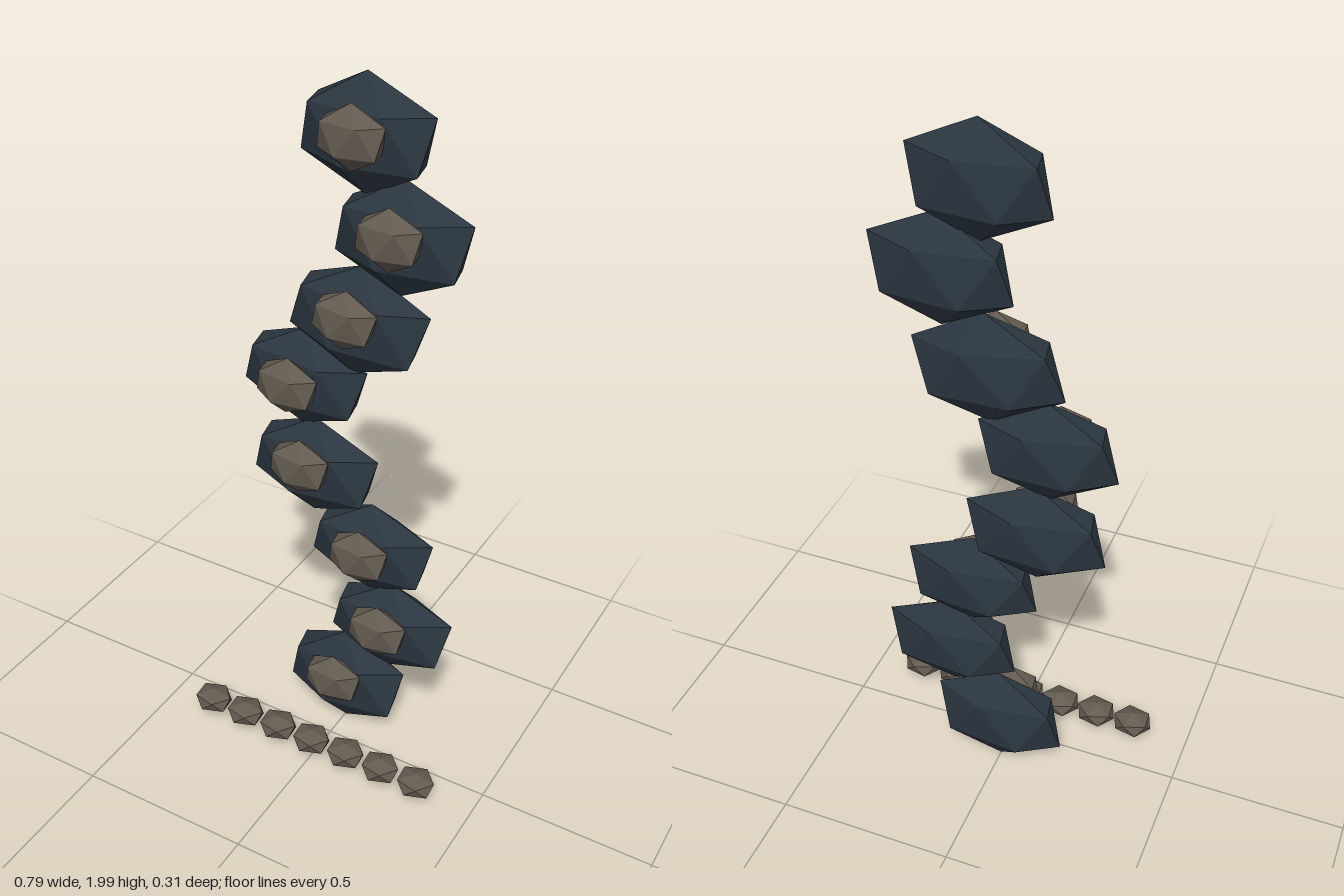
import * as THREE from 'three';

export function createModel() {
  const model = new THREE.Group();
  const slate = new THREE.MeshStandardMaterial({ color: 0x2b3640 });
  slate.name = 'dark slate';
  const stone = new THREE.MeshStandardMaterial({ color: 0x635b50 });
  stone.name = 'warm grey stone';

  // Faceted rock with its points up and down and a corner to the upper right
  const rock = new THREE.IcosahedronGeometry(1, 0);
  rock.rotateZ(-Math.atan(2 / (1 + Math.sqrt(5))));
  rock.rotateY(0.08);

  function addRock(name, material, position, radii, tilt = 0) {
    const mesh = new THREE.Mesh(rock, material);
    mesh.name = name;
    mesh.position.set(...position);
    mesh.scale.set(...radii);
    mesh.rotation.z = tilt;
    model.add(mesh);
  }

  // Winding stack, from the bottom: x, y, half width, half height, tilt, knob x, knob y
  const stack = [
    [0.003, 0.173, 0.207, 0.163, 0, 0.0, 0.212],
    [0.145, 0.42, 0.208, 0.147, 0, 0.14, 0.452],
    [0.079, 0.67, 0.205, 0.143, 0, 0.078, 0.688],
    [-0.1, 0.885, 0.212, 0.15, -0.02, -0.105, 0.92],
    [-0.13, 1.155, 0.202, 0.147, -0.06, -0.14, 1.16],
    [0.028, 1.36, 0.217, 0.155, -0.08, 0.03, 1.395],
    [0.146, 1.61, 0.205, 0.152, 0, 0.148, 1.635],
    [0.045, 1.85, 0.198, 0.15, 0, 0.045, 1.865],
  ];
  stack.forEach(([x, y, rx, ry, tilt, kx, ky], i) => {
    addRock(`plate${i + 1}`, slate, [x, y, -0.09], [rx, ry, 0.076], tilt);
    addRock(`knob${i + 1}`, stone, [kx, ky, -0.013], [0.098, 0.082, 0.05], tilt);
  });

  // Row of pebbles in front of the base
  for (let i = -3; i <= 3; i++) {
    addRock(`pebble${i + 4}`, stone, [i * 0.1133, 0.075, 0.11], [0.062, 0.036, 0.054]);
  }
  return model;
}
